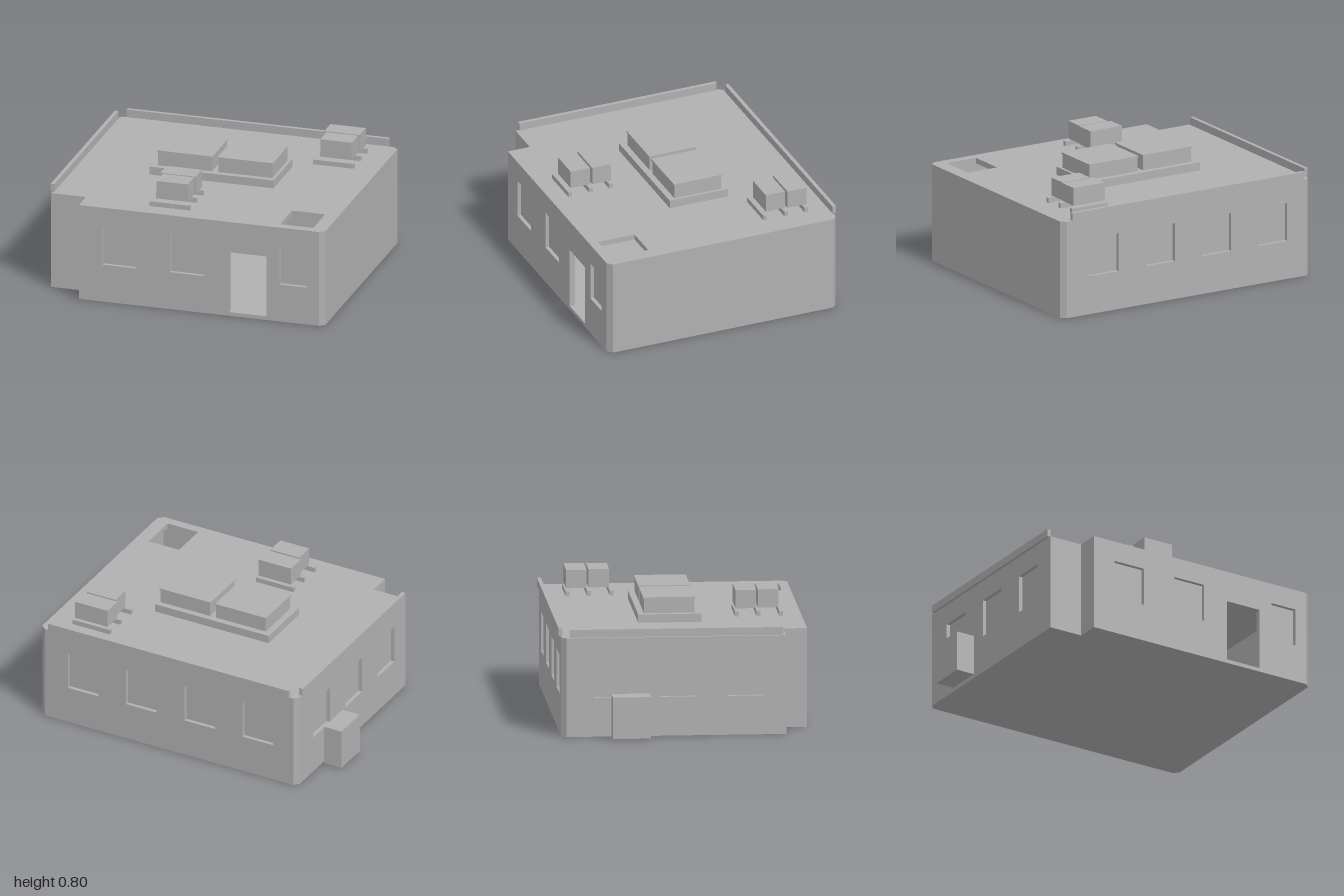
import * as THREE from 'three';

export function createModel() {
  const model = new THREE.Group();
  model.name = 'building';
  const grey = new THREE.MeshStandardMaterial({ color: 0xb0b0b0 });
  grey.name = 'plain grey';

  const add = (name, geometry, parent = model) => {
    const mesh = new THREE.Mesh(geometry, grey);
    mesh.name = name;
    parent.add(mesh);
    return mesh;
  };
  // Box given by its limits on each axis
  const box = (name, x0, x1, y0, y1, z0, z1, parent) => {
    const mesh = add(name, new THREE.BoxGeometry(x1 - x0, y1 - y0, z1 - z0), parent);
    mesh.position.set((x0 + x1) / 2, (y0 + y1) / 2, (z0 + z1) / 2);
    return mesh;
  };
  const rectangle = (x0, x1, y0, y1) => [[x0, y0], [x1, y0], [x1, y1], [x0, y1]]
    .map(([x, y]) => new THREE.Vector2(x, y));

  // Footprint corners (x, z), starting at the front wall
  const footprint = [
    [-0.625, 0.79], [0.965, 0.79], [1, 0.76], [1, -0.755], [0.965, -0.785],
    [-0.825, -0.785], [-0.855, -0.755], [-0.855, 0.64], [-0.625, 0.64],
  ];
  const floorTop = 0.02, roofBottom = 0.6, roofTop = 0.635, wallDepth = 0.035;

  // Floor and roof slabs; the roof has a hatch opening
  const slab = (name, y0, y1, hole) => {
    const shape = new THREE.Shape(footprint.map(([x, z]) => new THREE.Vector2(x, -z)));
    if (hole) shape.holes.push(new THREE.Path(hole));
    const geometry = new THREE.ExtrudeGeometry(shape, { depth: y1 - y0, bevelEnabled: false });
    geometry.rotateX(-Math.PI / 2);
    add(name, geometry).position.y = y0;
  };
  slab('floor', 0, floorTop);
  slab('roof', roofBottom, roofTop, rectangle(0.69, 0.91, -0.73, -0.48));

  // Openings per wall, as distances along it; doors have no pane
  const windowAt = (u, width = 0.22) => ({ u0: u, u1: u + width, y0: 0.25, y1: 0.5, pane: true });
  const openings = {
    0: [windowAt(0.155), windowAt(0.605), windowAt(1.33, 0.18),
      { u0: 0.997, u1: 1.243, y0: 0.025, y1: 0.43 }],
    4: [0.165, 0.585, 1.005, 1.425].map((u) => windowAt(u)),
    6: [0.175, 0.6, 1.025].map((u) => windowAt(u)),
  };

  // Walls follow the footprint, with recessed panes
  footprint.forEach(([x, z], i) => {
    const [nx, nz] = footprint[(i + 1) % footprint.length];
    const length = Math.hypot(nx - x, nz - z);
    const wall = new THREE.Group();
    wall.name = 'wall' + (i + 1);
    wall.position.set(x, 0, z);
    wall.rotation.y = Math.atan2(z - nz, nx - x);
    model.add(wall);

    const shape = new THREE.Shape(rectangle(0, length, floorTop, roofBottom));
    for (const o of openings[i] ?? []) {
      shape.holes.push(new THREE.Path(rectangle(o.u0, o.u1, o.y0, o.y1)));
      if (o.pane) box('windowPane', o.u0, o.u1, o.y0, o.y1, -0.033, -0.025, wall);
    }
    const geometry = new THREE.ExtrudeGeometry(shape, { depth: wallDepth, bevelEnabled: false });
    geometry.translate(0, 0, -wallDepth);
    add('wallPanel', geometry, wall);
  });

  // Rails along the left and back roof edges
  box('sideParapet', -0.865, -0.84, 0.64, 0.69, -0.735, 0.62);
  box('backParapet', -0.8, 0.935, 0.64, 0.69, -0.8, -0.775);

  // Central roof units on a plinth, each with a thin lid
  box('unitPlinth', -0.36, 0.46, roofTop, 0.688, -0.26, 0.14);
  for (const x of [-0.322, 0.078]) {
    box('roofUnit', x + 0.005, x + 0.362, 0.688, 0.78, -0.22, 0.1);
    box('roofUnitLid', x, x + 0.367, 0.78, 0.79, -0.225, 0.105);
  }

  // Paired cooling units resting over three rails
  const coolingPair = (x, z) => {
    const pair = new THREE.Group();
    pair.name = 'coolingPair';
    pair.position.set(x, 0, z);
    model.add(pair);
    for (const rz of [0, 0.137, 0.28]) {
      box('coolingRail', 0, 0.268, roofTop, 0.667, rz, rz + 0.025, pair);
    }
    box('coolingUnit', 0.02, 0.255, 0.683, 0.8, 0.005, 0.135, pair);
    box('coolingUnit', 0.04, 0.247, 0.683, 0.8, 0.148, 0.28, pair);
  };
  coolingPair(-0.195, 0.367);
  coolingPair(0.572, -0.647);
  // The rear pair has its wide unit at the back
  // Utility cabinet beside the wall
  box('utilityCabinet', -1, -0.875, 0.01, 0.277, -0.47, -0.23);

  return model;
}
